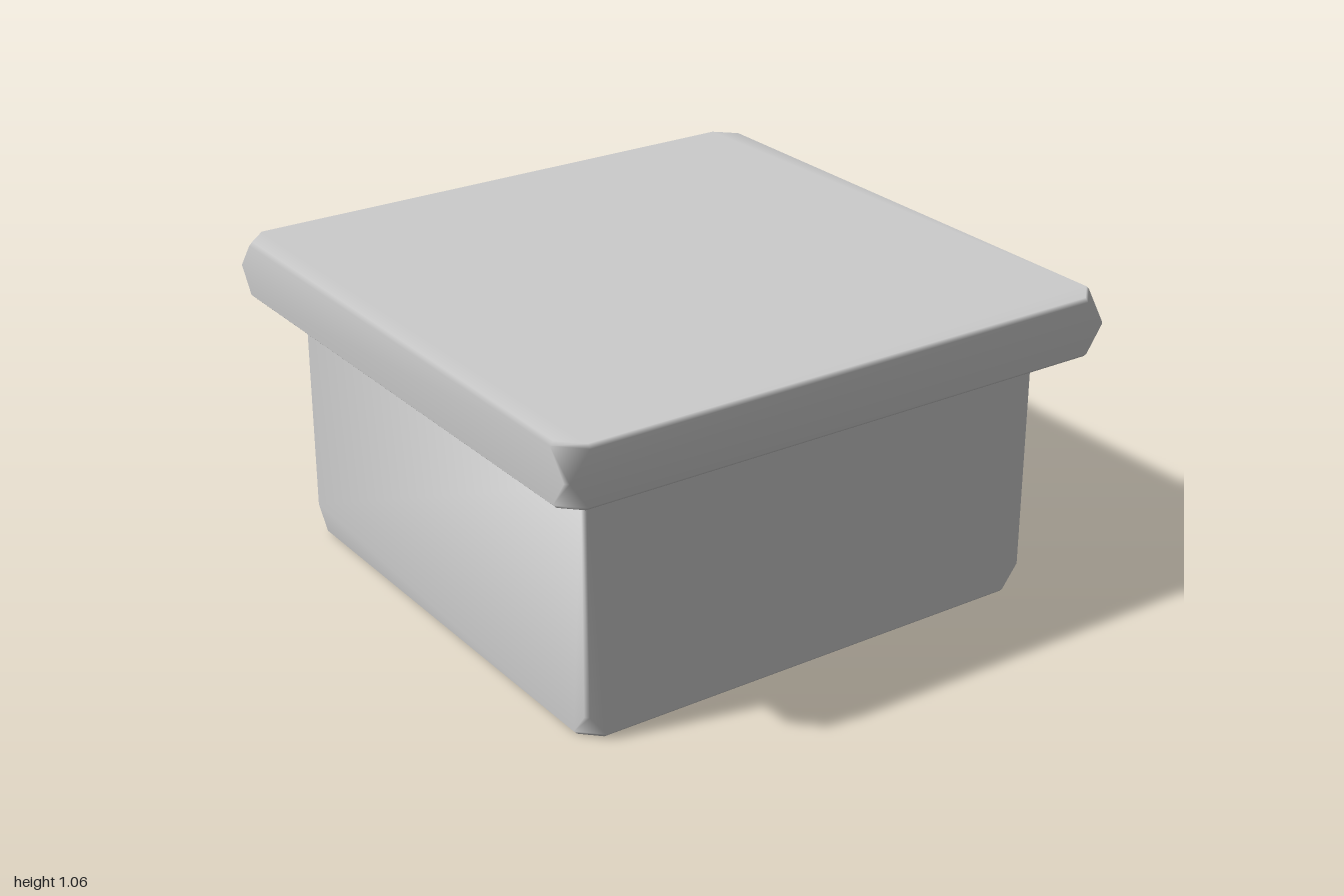
import * as THREE from 'three';
import { ConvexGeometry } from 'three/addons/geometries/ConvexGeometry.js';
import { mergeVertices } from 'three/addons/utils/BufferGeometryUtils.js';

const BEVEL = 0.012;

// Square block from one corner's [x, y, z] points, mirrored across the
// diagonal and into all four corners, with softly shaded bevels
function block(name, corner, material) {
  const points = [];
  for (const [a, y, b] of corner) {
    for (const sx of [1, -1]) {
      for (const sz of [1, -1]) {
        points.push(new THREE.Vector3(a * sx, y, b * sz));
        if (a !== b) points.push(new THREE.Vector3(b * sx, y, a * sz));
      }
    }
  }
  let geometry = new ConvexGeometry(points);
  geometry.deleteAttribute('normal');
  geometry = mergeVertices(geometry, 1e-4);
  geometry.computeVertexNormals(); // area weighted, so large faces stay nearly flat
  const mesh = new THREE.Mesh(geometry, material);
  mesh.name = name;
  return mesh;
}

export function createModel() {
  const group = new THREE.Group();
  group.name = 'liddedBox';
  const material = new THREE.MeshStandardMaterial({ color: 0xcccccc });

  // Lid: thin slab, corners clipped above and below, underside sloping to the body
  const top = 1.06, bottom = 0.86;
  group.add(block('lid', [
    [0.92, top, 1 - BEVEL],
    [0.92, top - BEVEL, 1],
    [1 - BEVEL, 0.96, 1],
    [0.93, bottom + BEVEL, 1],
    [0.93, bottom, 1 - BEVEL],
    [0.85, 0.84, 0.85],
  ], material));

  // Body: straight walls with clipped bottom corners
  const half = 0.85;
  group.add(block('body', [
    [half - BEVEL, 0.85, half],
    [half - BEVEL, 0.09, half],
    [0.78, BEVEL, half],
    [0.78, 0, half - BEVEL],
  ], material));

  return group;
}
